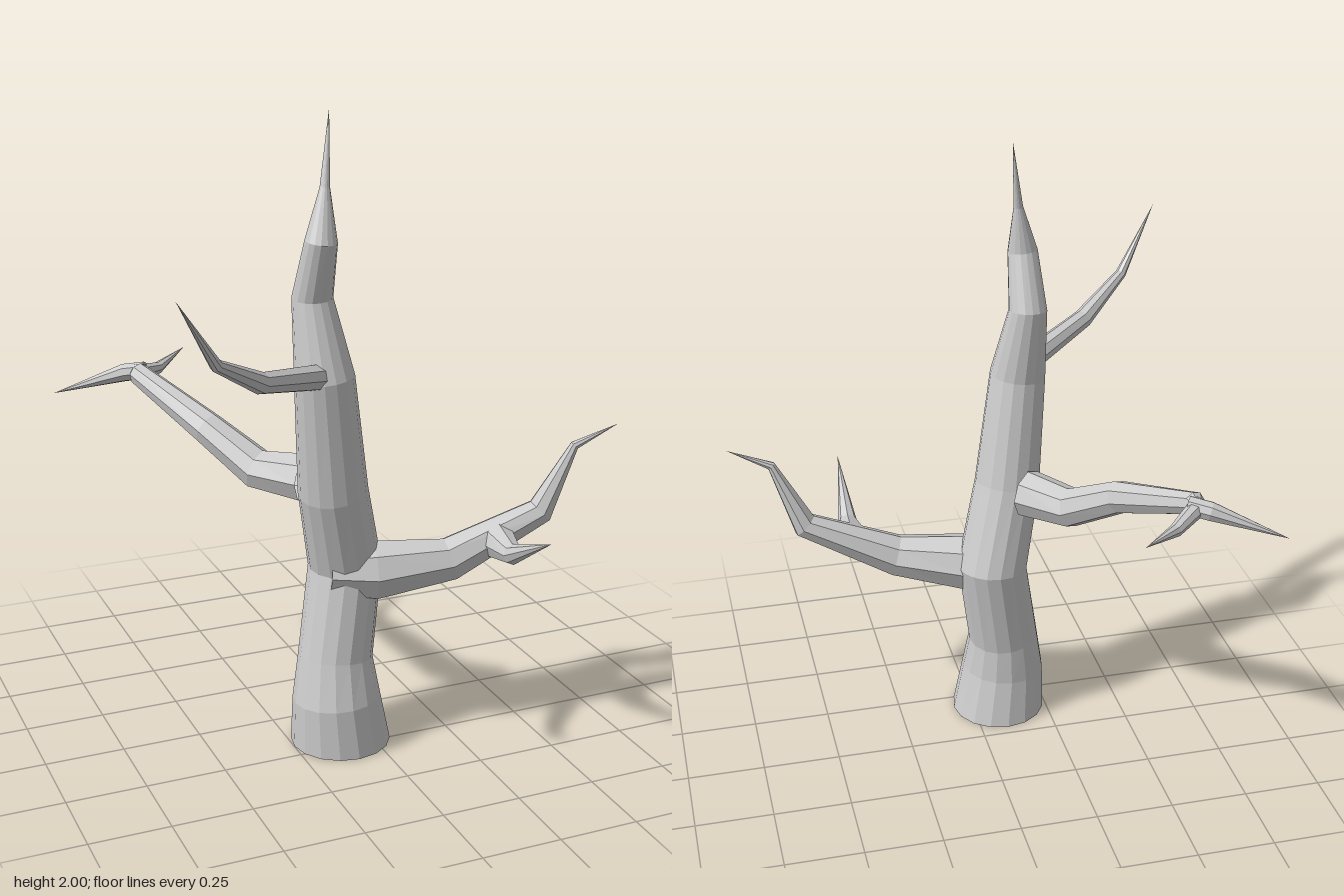
import * as THREE from 'three';

const bark = new THREE.MeshStandardMaterial({
  color: 0xcccccc, flatShading: true, side: THREE.DoubleSide,
});

// Tapering limb: each station is [x, y, z, radius]; the last one is the pointed tip.
function limb(name, sides, stations, startDirection) {
  const points = stations.map(([x, y, z]) => new THREE.Vector3(x, y, z));
  const last = points.length - 1;
  const step = (i) => points[i + 1].clone().sub(points[i]).normalize();
  const positions = [];
  const index = [];
  let tangent = startDirection ? startDirection.clone() : step(0);
  const side = new THREE.Vector3(0, 0, 1);
  if (Math.abs(tangent.z) > 0.8) side.set(1, 0, 0);

  // Rings follow the bend of the limb without twisting
  for (let i = 0; i < last; i++) {
    if (i > 0) tangent = step(i - 1).add(step(i)).normalize();
    side.addScaledVector(tangent, -side.dot(tangent)).normalize();
    const up = tangent.clone().cross(side);
    for (let j = 0; j < sides; j++) {
      const a = (j / sides) * Math.PI * 2;
      const p = points[i].clone()
        .addScaledVector(side, Math.cos(a) * stations[i][3])
        .addScaledVector(up, Math.sin(a) * stations[i][3]);
      positions.push(p.x, p.y, p.z);
    }
  }
  positions.push(...points[last].toArray());

  // Walls between rings, then a fan up to the tip
  for (let i = 0; i < last; i++) {
    for (let j = 0; j < sides; j++) {
      const k = (j + 1) % sides;
      const a = i * sides + j, b = i * sides + k;
      if (i === last - 1) index.push(a, b, last * sides);
      else index.push(a, b, b + sides, a, b + sides, a + sides);
    }
  }

  const geometry = new THREE.BufferGeometry();
  geometry.setAttribute('position', new THREE.Float32BufferAttribute(positions, 3));
  geometry.setIndex(index);
  geometry.computeVertexNormals();
  const mesh = new THREE.Mesh(geometry, bark);
  mesh.name = name;
  return mesh;
}

export function createModel() {
  const tree = new THREE.Group();
  tree.name = 'bareTree';

  // Crooked trunk, open at the foot
  tree.add(limb('trunk', 16, [
    [-0.092, 0, 0.19, 0.157],
    [-0.11, 0.16, 0.2, 0.138],
    [-0.107, 0.29, 0.185, 0.117],
    [-0.062, 0.58, 0.155, 0.115],
    [-0.125, 0.85, 0.212, 0.107],
    [-0.17, 1.22, 0.258, 0.09],
    [-0.192, 1.455, 0.22, 0.061],
    [-0.188, 1.63, 0.28, 0.048],
    [-0.168, 1.78, 0.26, 0.015],
    [-0.14, 2, 0.225],
  ], new THREE.Vector3(0, 1, 0)));

  // Thick lower branch on the left with a forward twig
  const lower = new THREE.Group();
  lower.name = 'lowerBranch';
  lower.add(limb('lowerLimb', 8, [
    [-0.13, 0.575, 0.185, 0.075],
    [0.01, 0.567, 0.215, 0.097],
    [0.24, 0.59, 0.275, 0.071],
    [0.535, 0.722, 0.315, 0.045],
    [0.63, 0.935, 0.348, 0.015],
    [0.77, 0.995, 0.37],
  ]));
  lower.add(limb('lowerTwig', 8, [
    [0.385, 0.645, 0.32, 0.06],
    [0.375, 0.645, 0.44, 0.032],
    [0.365, 0.77, 0.685],
  ]));
  tree.add(lower);

  // Rear branch that forks into two twigs
  const rear = new THREE.Group();
  rear.name = 'rearBranch';
  rear.add(limb('rearLimb', 8, [
    [-0.17, 0.86, 0.11, 0.078],
    [-0.28, 0.862, -0.02, 0.065],
    [-0.39, 0.965, -0.17, 0.053],
    [-0.525, 1.08, -0.46, 0.036],
    [-0.535, 1.075, -0.52],
  ]));
  rear.add(limb('forkTwigOuter', 8, [
    [-0.5, 1.085, -0.475, 0.03],
    [-0.56, 1.075, -0.51, 0.03],
    [-0.775, 1.005, -0.6],
  ]));
  rear.add(limb('forkTwigInner', 8, [
    [-0.535, 1.08, -0.475, 0.03],
    [-0.43, 1.06, -0.57, 0.02],
    [-0.3, 1.088, -0.69],
  ]));
  tree.add(rear);

  // Slender upper branch reaching forward on the right
  tree.add(limb('upperBranch', 8, [
    [-0.18, 1.23, 0.28, 0.041],
    [-0.45, 1.295, 0.478, 0.032],
    [-0.617, 1.395, 0.6, 0.018],
    [-0.75, 1.6, 0.685],
  ]));

  return tree;
}
